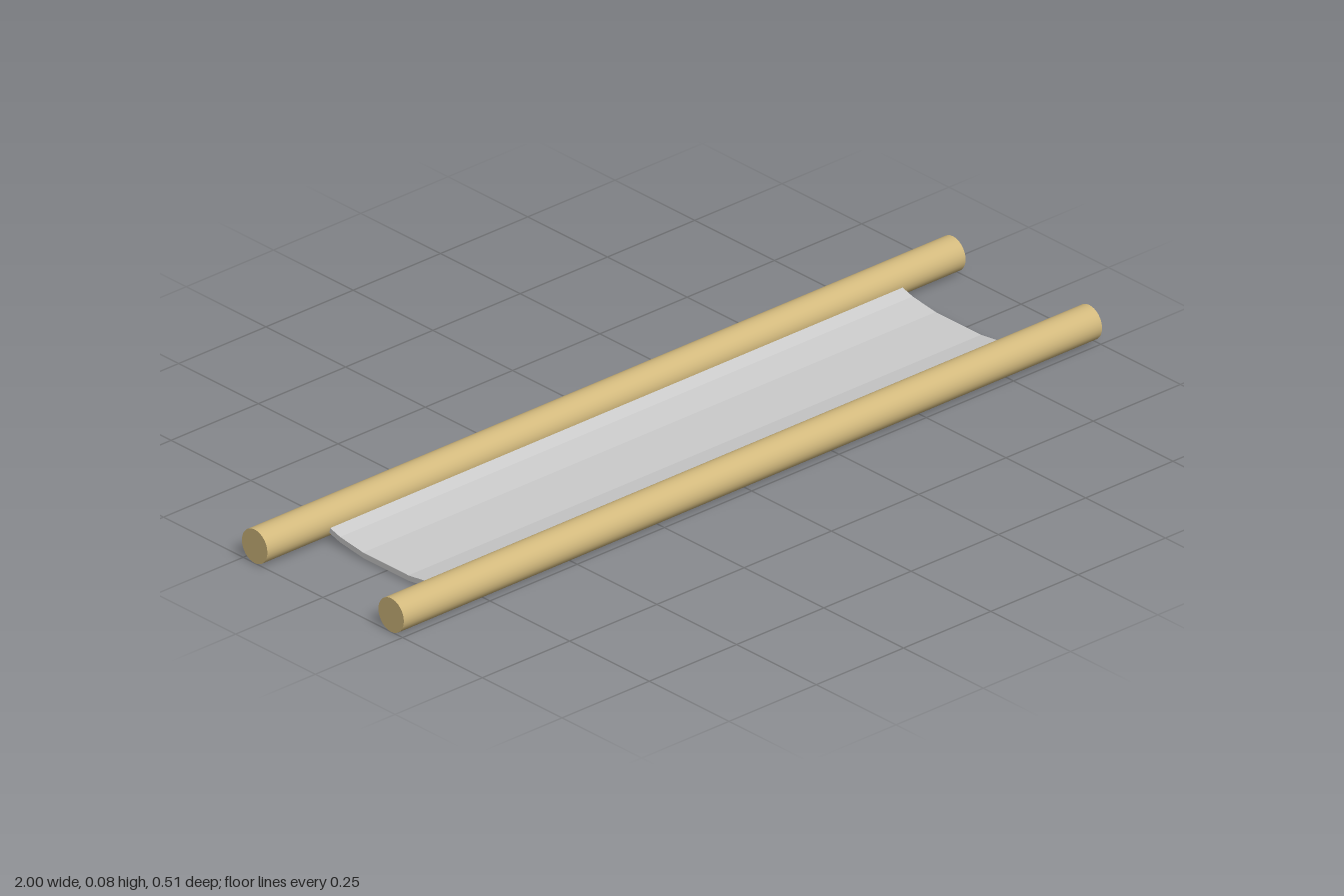
import * as THREE from 'three';

export function createModel() {
  const group = new THREE.Group();
  group.name = 'stretcher';
  const wood = new THREE.MeshStandardMaterial({ color: 0xd2b97d });
  const cloth = new THREE.MeshStandardMaterial({ color: 0xcccccc, flatShading: true });

  // Two round carrying poles along x
  const radius = 0.04, poleZ = 0.214;
  const poleGeometry = new THREE.CylinderGeometry(radius, radius, 2, 32).rotateZ(Math.PI / 2);
  for (const [name, side] of [['frontPole', 1], ['backPole', -1]]) {
    const pole = new THREE.Mesh(poleGeometry, wood);
    pole.name = name;
    pole.position.set(0, radius, side * poleZ);
    group.add(pole);
  }

  // Sagging sheet slung between the pole centres
  const half = [[0.071, 0.0105], [0.143, 0.02], [poleZ, 0.041]];
  const sag = [...half.map(([z, y]) => [-z, y]).reverse(), ...half];
  const t = 0.0065;
  const outline = [
    ...sag.map(([z, y]) => new THREE.Vector2(z, y - t)),
    ...sag.map(([z, y]) => new THREE.Vector2(z, y + t)).reverse(),
  ];
  const length = 1.64;
  const sheetGeometry = new THREE.ExtrudeGeometry(new THREE.Shape(outline), { depth: length, bevelEnabled: false });
  sheetGeometry.translate(0, 0, -length / 2).rotateY(Math.PI / 2);
  const sheet = new THREE.Mesh(sheetGeometry, cloth);
  sheet.name = 'sheet';
  group.add(sheet);

  return group;
}
